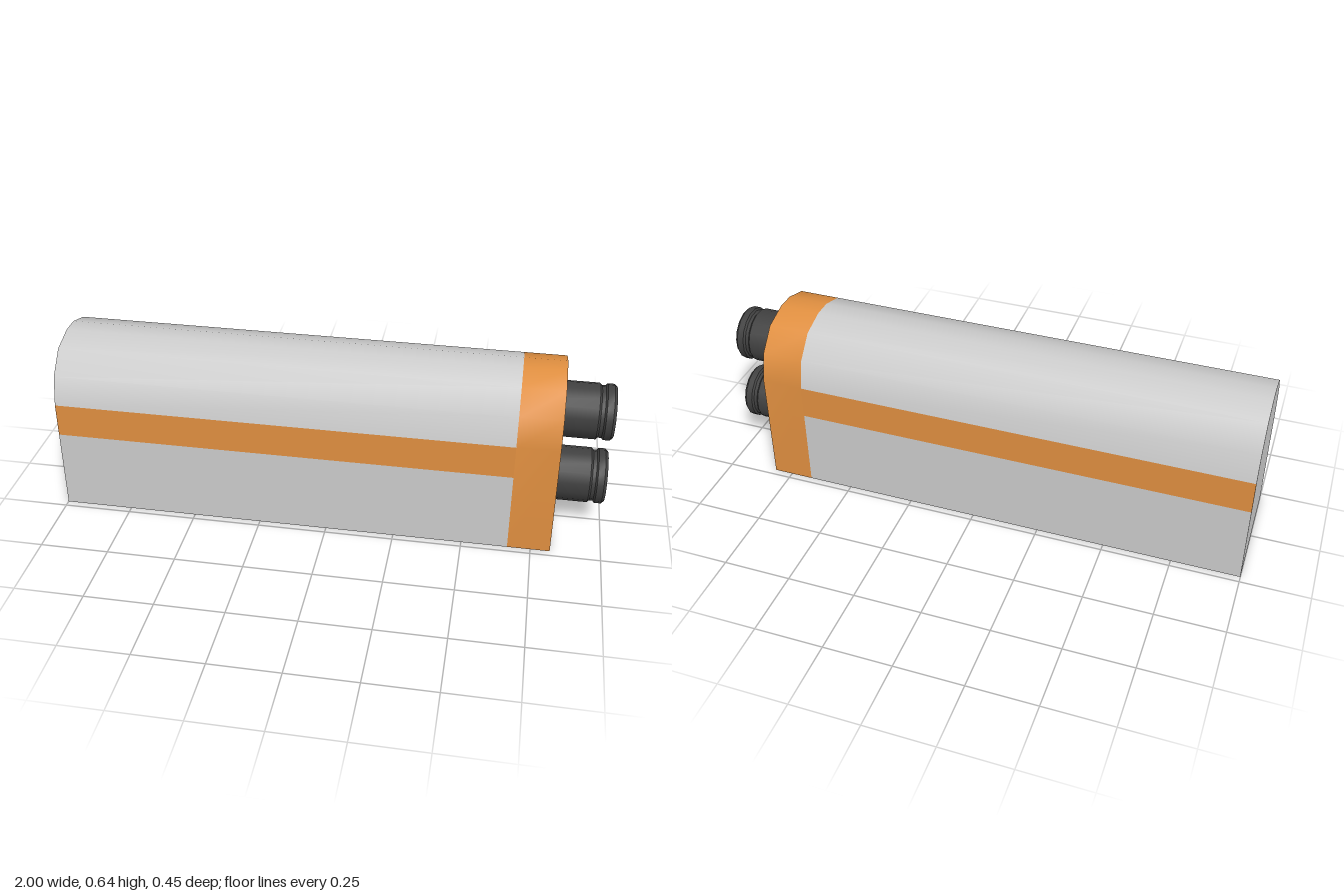
import * as THREE from 'three';
import { toCreasedNormals } from 'three/addons/utils/BufferGeometryUtils.js';

const material = (color) => new THREE.MeshStandardMaterial({ color, side: THREE.DoubleSide });

// Half outlines as [z, y] from the foot to the crown, mirrored into a full arch
const OUTER = [[0.225, 0], [0.225, 0.427], [0.2, 0.533], [0.13, 0.612], [0.035, 0.641]];
const INNER = [[0.2, 0.04], [0.2, 0.42], [0.178, 0.518], [0.116, 0.587], [0.03, 0.613]];
const arch = (half) => [...half, ...half.map(([z, y]) => [-z, y]).reverse()];

// Open smooth skin that sweeps an outline along x
function skin(points, x0, x1) {
  const position = [], index = [];
  points.forEach(([z, y], i) => {
    position.push(x0, y, z, x1, y, z);
    if (i === 0) return;
    const a = 2 * (i - 1);
    index.push(a, a + 1, a + 3, a, a + 3, a + 2);
  });
  const geometry = new THREE.BufferGeometry();
  geometry.setAttribute('position', new THREE.Float32BufferAttribute(position, 3));
  geometry.setIndex(index);
  geometry.computeVertexNormals();
  return geometry;
}

// Flat plate in the y-z plane at x, facing +x or -x
function plate(points, x, facing, hole) {
  const outline = (p) => p.map(([z, y]) => new THREE.Vector2(z, y));
  const shape = new THREE.Shape(outline(points));
  if (hole) shape.holes.push(new THREE.Path(outline(hole)));
  return new THREE.ShapeGeometry(shape).rotateY(facing * Math.PI / 2).translate(x, 0, 0);
}

export function createModel() {
  const group = new THREE.Group();
  const grey = material(0xcccccc), orange = material(0xe08f40), dark = material(0x404040);
  const add = (name, geometry, mat) => {
    const mesh = new THREE.Mesh(geometry, mat);
    mesh.name = name;
    group.add(mesh);
    return mesh;
  };
  const back = -1, seam = 0.667, front = 0.82;
  const outer = arch(OUTER), inner = arch(INNER);

  // Housing, open underneath: rounded roof, side walls with a coloured band, closed end
  add('roof', skin(arch(OUTER.slice(1)), back, seam), grey);
  for (const [side, s] of [['left', 1], ['right', -1]]) {
    const wall = (y0, y1) => {
      const p = [[s * 0.225, y0], [s * 0.225, y1]];
      return skin(s > 0 ? p : p.reverse(), back, seam);
    };
    // the two long walls face +z and -z
    add(side === 'left' ? 'frontWall' : 'backWall', wall(0, 0.302), grey);
    add(side === 'left' ? 'frontBand' : 'backBand', wall(0.302, 0.427), orange);
  }
  add('endWall', plate(outer, back, -1), grey);

  // Collar with its rim and the dark panel set in it
  add('collar', skin(outer, seam, front), orange);
  add('collarRim', plate(outer, front, 1, inner), orange);
  add('panel', plate(inner, front, 1), dark);

  // Two pipes running through the panel, with a grooved lip and a hollow mouth
  const profile = [
    [0, 0.4], [0.101, 0.4], [0.101, 0.94], [0.094, 0.947], [0.094, 0.96],
    [0.101, 0.966], [0.101, 0.99], [0.092, 1], [0.079, 1], [0.079, 0.85], [0, 0.85],
  ].map(([r, x]) => new THREE.Vector2(r, x));
  const pipe = toCreasedNormals(
    new THREE.LatheGeometry(profile, 16, Math.PI / 16).rotateZ(-Math.PI / 2), 0.6);
  for (const [name, y] of [['upperPipe', 0.469], ['lowerPipe', 0.197]]) {
    add(name, pipe, dark).position.y = y;
  }
  return group;
}
